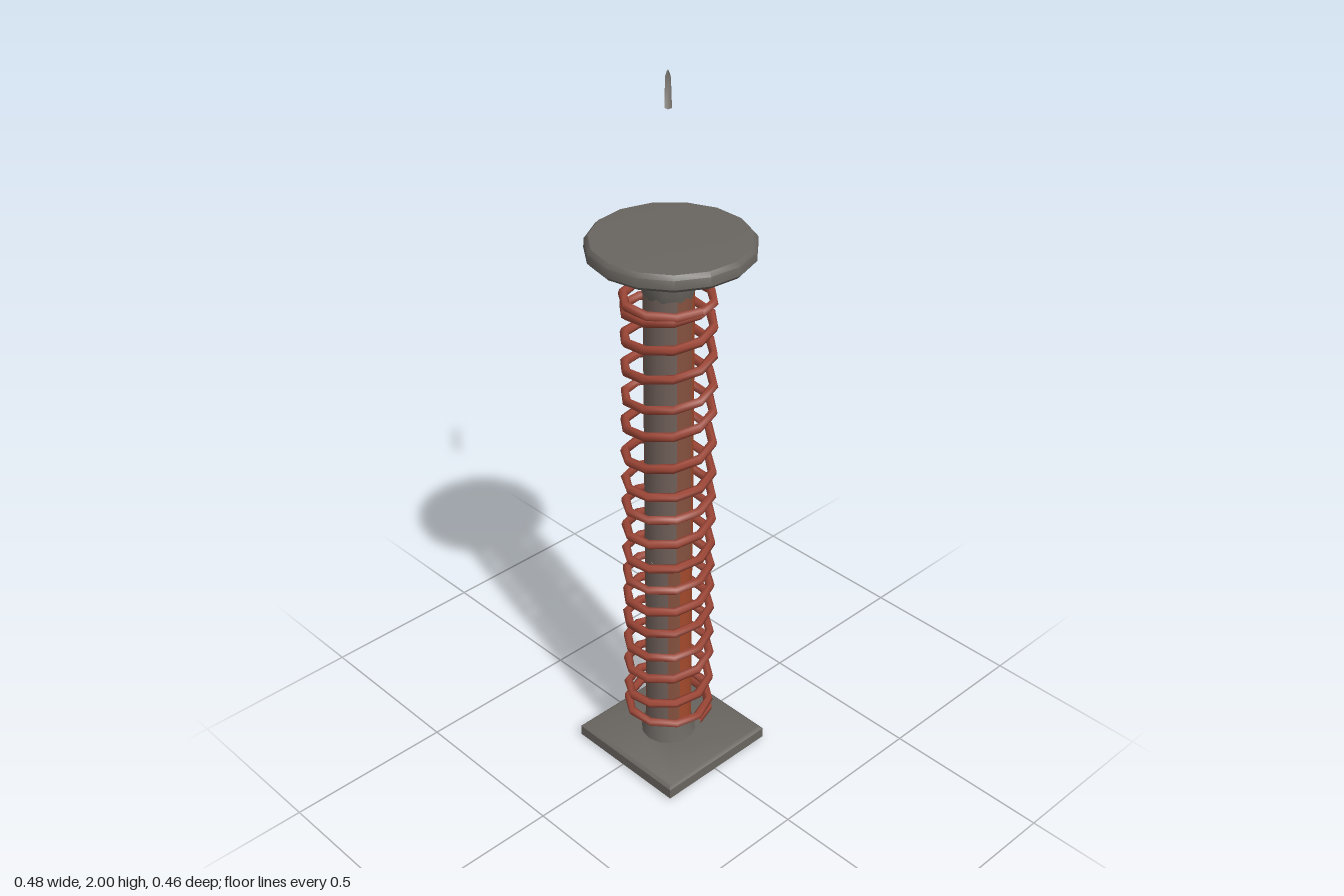
import * as THREE from 'three';
import { toCreasedNormals } from 'three/addons/utils/BufferGeometryUtils.js';

const makeMaterial = (name, color, side = THREE.FrontSide) => {
  const m = new THREE.MeshStandardMaterial({ color, side });
  m.name = name;
  return m;
};

export function createModel() {
  const group = new THREE.Group();
  const iron = makeMaterial('dark iron', 0x696560, THREE.DoubleSide);
  const steel = makeMaterial('worn steel', 0x70605a);
  const brown = makeMaterial('rusty brown', 0x85513f);
  const rust = makeMaterial('orange rust', 0xa34a2c);
  const red = makeMaterial('spring red', 0x9c4636);

  const add = (name, geometry, material, x = 0, y = 0, z = 0) => {
    const mesh = new THREE.Mesh(geometry, material);
    mesh.name = name;
    mesh.position.set(x, y, z);
    group.add(mesh);
    return mesh;
  };
  const lathe = (points, sides, start = 0) => toCreasedNormals(
    new THREE.LatheGeometry(points.map(([r, y]) => new THREE.Vector2(r, y)), sides, start), 0.7);

  // Square foot plate with a shallow sloping top
  add('basePlate', lathe([[0, 0.008], [0.262, 0.004], [0.276, 0.012], [0.276, 0.044],
    [0.262, 0.052], [0.11, 0.058], [0, 0.06]], 4, Math.PI / 4), iron, 0.014, 0, -0.004);

  // Collars joining the shaft to both plates
  add('lowerCollar', lathe([[0.084, 0.05], [0.076, 0.08], [0.069, 0.11]], 14), iron, 0.012, 0, 0.008);
  add('upperCollar', lathe([[0.069, 1.53], [0.077, 1.56], [0.078, 1.6], [0.07, 1.65]], 10),
    iron, 0.012, 0, 0.008);

  // Round top plate
  add('topPlate', lathe([[0, 1.635], [0.19, 1.635], [0.216, 1.64], [0.225, 1.65], [0.224, 1.675],
    [0.214, 1.686], [0.15, 1.689], [0, 1.688]], 15), iron, 0.017, 0, 0.004);

  // Shaft, split into vertical strips: steel at the front, rust at the back
  const shaft = new THREE.Group();
  shaft.name = 'shaft';
  group.add(shaft);
  const bands = [
    [0.07, 0.7, [[-25, 45, steel], [45, 75, brown], [75, 310, rust], [310, 335, brown]]],
    [0.7, 1.58, [[-30, 65, steel], [65, 110, brown], [110, 310, rust], [310, 330, brown]]],
  ];
  for (const [y0, y1, strips] of bands) {
    for (const [a, b, material] of strips) {
      const strip = new THREE.Mesh(new THREE.CylinderGeometry(0.068, 0.068, y1 - y0,
        Math.max(1, Math.round((b - a) / 25)), 1, true,
        THREE.MathUtils.degToRad(a), THREE.MathUtils.degToRad(b - a)), material);
      strip.name = 'shaftStrip';
      strip.position.set(0.012, (y0 + y1) / 2, 0.008);
      shaft.add(strip);
    }
  }

  // Coil spring: heights of each turn on the left side, closed flat at both ends
  const turns = [0.148, 0.165, 0.25, 0.345, 0.42, 0.51, 0.585, 0.66, 0.735, 0.82, 0.9,
    0.975, 1.07, 1.17, 1.25, 1.345, 1.43, 1.51, 1.515];
  const perTurn = 10;
  const coil = new THREE.CurvePath();
  let previous = null;
  for (let i = 0; i <= (turns.length - 1) * perTurn; i++) {
    const t = Math.min(Math.floor(i / perTurn), turns.length - 2);
    const y = THREE.MathUtils.lerp(turns[t], turns[t + 1], i / perTurn - t);
    const a = -i / perTurn * Math.PI * 2;
    const p = new THREE.Vector3(0.008 + 0.122 * Math.cos(a), y, 0.005 + 0.122 * Math.sin(a));
    if (previous) coil.add(new THREE.LineCurve3(previous, p));
    previous = p;
  }
  add('spring', new THREE.TubeGeometry(coil, (turns.length - 1) * perTurn, 0.013, 6, false), red);

  // Small loose curved sliver above the plate
  const ribs = [[-0.24, 1.999, 0.001], [-0.205, 2.0, 0.005], [-0.175, 1.982, 0.006], [-0.145, 1.945, 0.007]];
  const positions = [], index = [];
  ribs.forEach(([x, y, w], i) => {
    const z = x * 0.95 - 0.003;
    positions.push(x - w, y, z + w, x, y - 0.004, z, x + w, y, z - w);
    if (i === 0) return;
    for (let j = 0; j < 2; j++) {
      const a = (i - 1) * 3 + j, b = i * 3 + j;
      index.push(a, b, a + 1, b, b + 1, a + 1);
    }
  });
  const sliver = new THREE.BufferGeometry();
  sliver.setAttribute('position', new THREE.Float32BufferAttribute(positions, 3));
  sliver.setIndex(index);
  sliver.computeVertexNormals();
  add('looseSliver', sliver, iron);

  return group;
}
